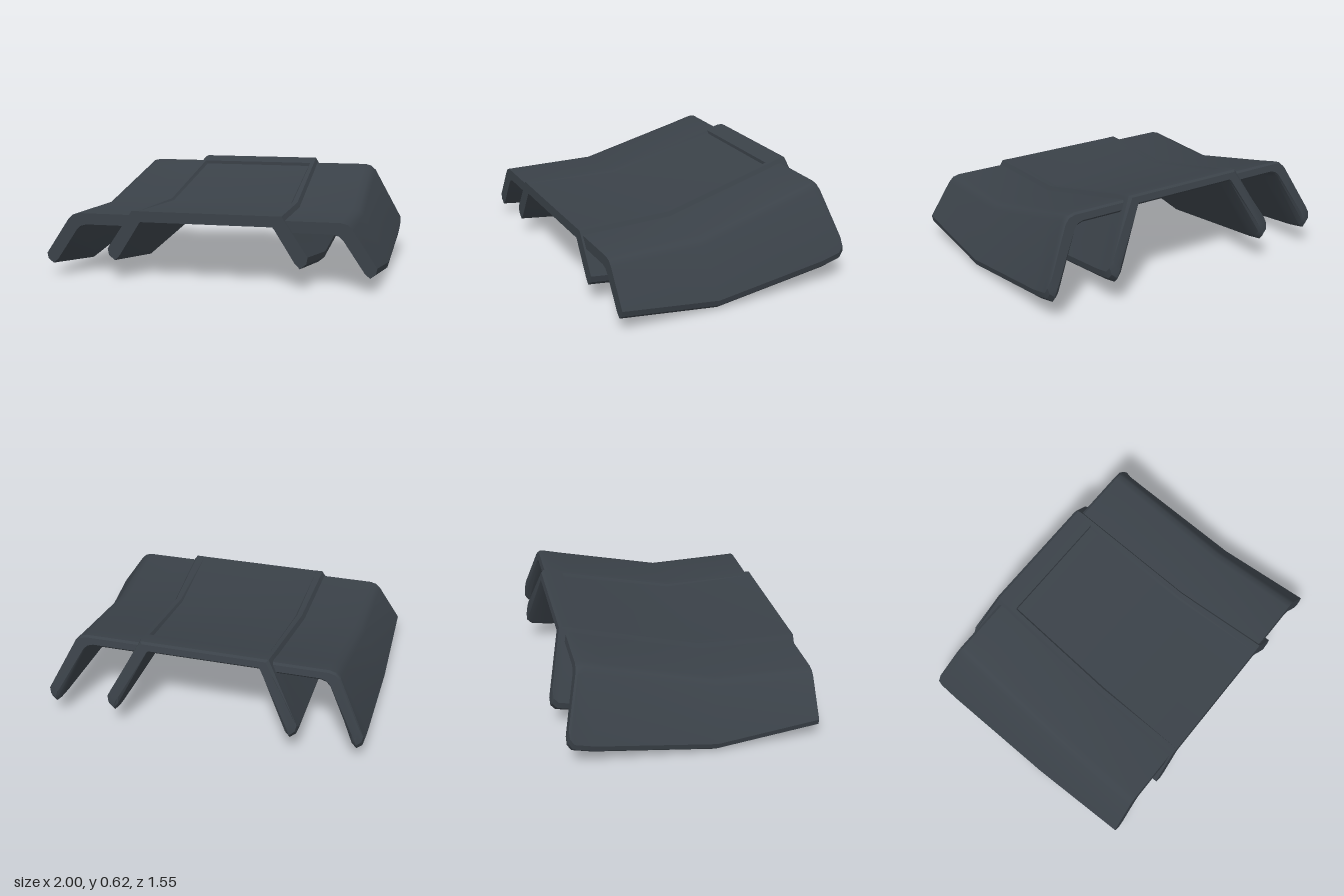
import * as THREE from 'three';
import { toCreasedNormals } from 'three/addons/utils/BufferGeometryUtils.js';

// Lofts closed cross-sections from front to back.
// Station: top height y, top position z, lean (backward shift per depth), loop of [x, depth below top].
function loft(stations) {
  const n = stations[0].loop.length;
  const pos = [];
  const index = [];
  for (const { y, z, lean, loop } of stations)
    for (const [x, d] of loop) pos.push(x, y - d, z - lean * d);

  for (let s = 0; s < stations.length - 1; s++) {
    for (let i = 0; i < n; i++) {
      const j = (i + 1) % n;
      const a = s * n + i, b = s * n + j, c = b + n, d = a + n;
      index.push(a, b, c, a, c, d);
    }
  }

  // end caps, the front one facing +z and the back one -z
  for (const [s, side] of [[0, 1], [stations.length - 1, -1]]) {
    const pts = stations[s].loop.map(([x, d]) => new THREE.Vector2(x, -d));
    for (const [a, b, c] of THREE.ShapeUtils.triangulateShape(pts, [])) {
      const facing = THREE.ShapeUtils.area([pts[a], pts[b], pts[c]]) * side > 0;
      const t = facing ? [a, b, c] : [a, c, b];
      index.push(...t.map((k) => k + s * n));
    }
  }
  const g = new THREE.BufferGeometry();
  g.setAttribute('position', new THREE.Float32BufferAttribute(pos, 3));
  g.setIndex(index);
  return toCreasedNormals(g, 0.6);
}

const flip = (loop) => loop.map(([x, d]) => [-x, d]).reverse();

// Side wing: top edge, rounded shoulder, splayed leg with a rounded foot.
// xi inner edge, xs shoulder, xf foot, depth of the foot, t thickness
function wingLoop(xi, xs, xf, depth, t, inset = 0) {
  return [
    [xi, inset], [xs - 0.035, inset], [xs + 0.005, 0.01 + inset], [xs + 0.035, 0.04 + inset],
    [xf - inset, depth - 0.06], [xf - 0.008 - inset, depth - 0.025],
    [xf - 0.04, depth], [xf - 0.07 + inset, depth - 0.025],
    [xs - 0.02, 0.1 - inset], [xs - 0.045, t + 0.01 - inset], [xs - 0.08, t - inset], [xi, t - inset],
  ];
}

// Centre cover: recessed panel, raised rim, splayed legs, mirrored into one loop.
// xp panel edge, r recess, xt rim edge, xf foot
function coverLoop(xp, r, xt, xf, depth, t, inset = 0) {
  const half = [
    [xp, r + inset], [xp + 0.012, inset], [xt - inset, inset], [xt + 0.008 - inset, 0.014 + inset],
    [xf - inset, depth - 0.07], [xf - 0.008 - inset, depth - 0.03],
    [xf - 0.045, depth], [xf - 0.075 + inset, depth - 0.03],
    [xt - 0.045, t + 0.01 - inset], [xt - 0.055, t - inset],
  ];
  return [...half, ...flip(half)];
}

export function createModel() {
  const model = new THREE.Group();
  const shellGrey = new THREE.MeshStandardMaterial({ color: 0x3a4148 });
  const add = (name, geometry) => {
    const mesh = new THREE.Mesh(geometry, shellGrey);
    mesh.name = name;
    model.add(mesh);
  };

  // side wings
  const wing = [
    { y: 0.388, z: 0.757, lean: 0, loop: wingLoop(0.46, 0.825, 1.0, 0.31, 0.067) },
    { y: 0.388, z: 0.17, lean: 0.1, loop: wingLoop(0.435, 0.805, 0.995, 0.388, 0.067) },
    { y: 0.55, z: -0.48, lean: 0.26, loop: wingLoop(0.41, 0.78, 0.985, 0.455, 0.067) },
    { y: 0.582, z: -0.6, lean: 0.26, loop: wingLoop(0.4, 0.775, 0.98, 0.46, 0.067) },
    { y: 0.59, z: -0.632, lean: 0.26, loop: wingLoop(0.4, 0.775, 0.978, 0.43, 0.067, 0.003) },
    { y: 0.592, z: -0.645, lean: 0.26, loop: wingLoop(0.4, 0.775, 0.962, 0.385, 0.067, 0.014) },
  ];
  add('leftWing', loft(wing));
  add('rightWing', loft(wing.map((s) => ({ ...s, loop: flip(s.loop) }))));

  // centre cover with a panel that sinks toward the back and ends in a raised lip
  add('centreCover', loft([
    { y: 0.415, z: 0.77, lean: 0, loop: coverLoop(0.398, 0.001, 0.452, 0.605, 0.3, 0.065) },
    { y: 0.415, z: 0.17, lean: 0.1, loop: coverLoop(0.382, 0.012, 0.425, 0.6, 0.375, 0.065) },
    { y: 0.592, z: -0.54, lean: 0.26, loop: coverLoop(0.36, 0.02, 0.397, 0.592, 0.46, 0.065) },
    { y: 0.593, z: -0.545, lean: 0.26, loop: coverLoop(0.36, 0, 0.397, 0.592, 0.46, 0.065) },
    { y: 0.615, z: -0.63, lean: 0.26, loop: coverLoop(0.358, 0, 0.393, 0.59, 0.465, 0.065) },
    { y: 0.622, z: -0.664, lean: 0.26, loop: coverLoop(0.358, 0, 0.392, 0.588, 0.44, 0.065, 0.003) },
    { y: 0.624, z: -0.678, lean: 0.26, loop: coverLoop(0.35, 0, 0.39, 0.575, 0.395, 0.065, 0.014) },
  ]));
  return model;
}
